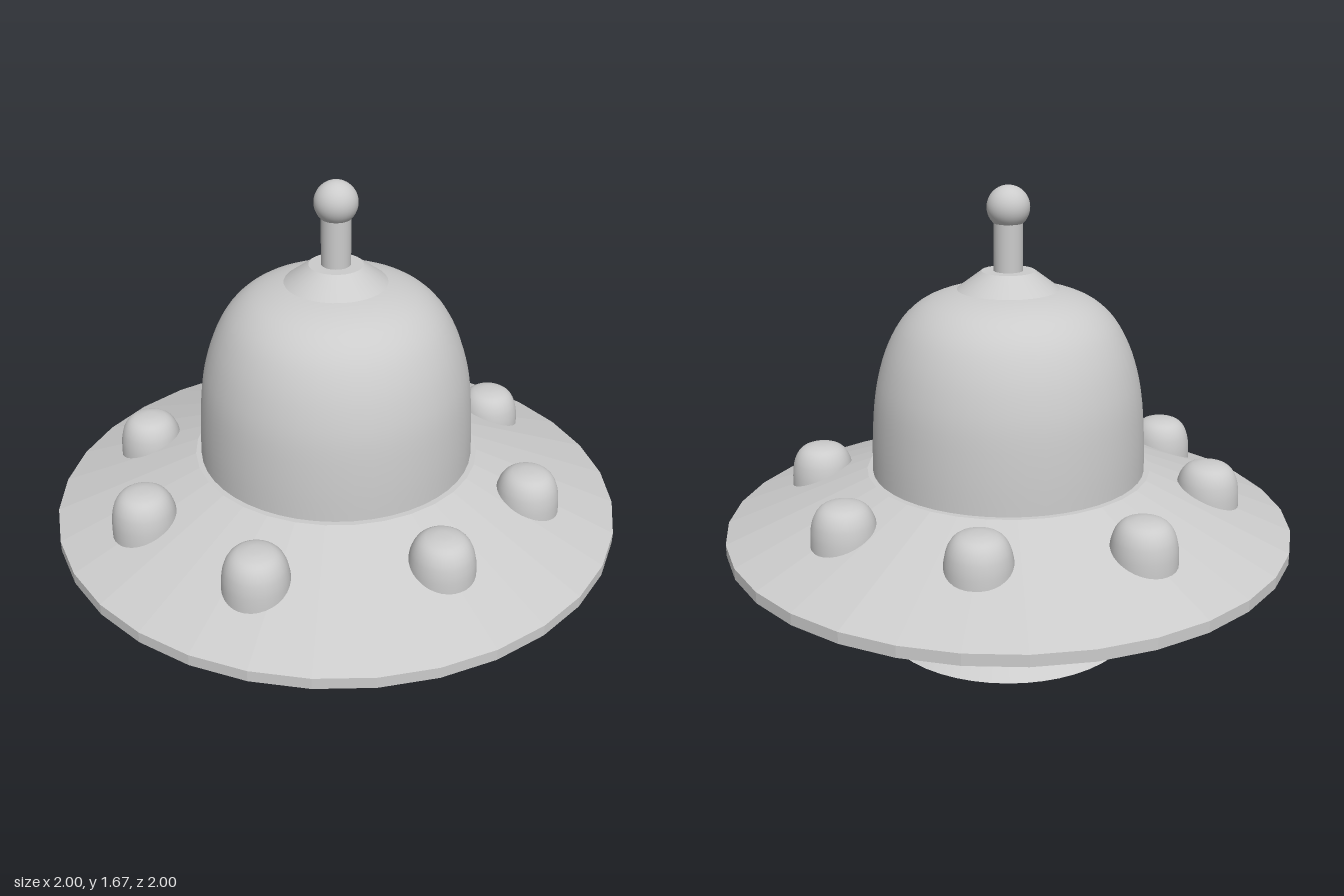
import * as THREE from 'three';

export function createModel() {
  const root = new THREE.Group();
  const smooth = new THREE.MeshStandardMaterial({ color: 0xcccccc, side: THREE.DoubleSide });
  const flat = new THREE.MeshStandardMaterial({ color: 0xcccccc, flatShading: true });

  const add = (name, geometry, material, x = 0, y = 0, z = 0) => {
    const mesh = new THREE.Mesh(geometry, material);
    mesh.name = name;
    mesh.position.set(x, y, z);
    root.add(mesh);
    return mesh;
  };
  // Tapered cylinder placed by its bottom and top heights
  const drum = (name, rTop, rBottom, y0, y1, material, sides = 32, x = 0, z = 0) =>
    add(name, new THREE.CylinderGeometry(rTop, rBottom, y1 - y0, sides), material, x, (y0 + y1) / 2, z);

  // Saucer: lower slope, rim band and upper slope
  drum('saucerBottom', 1, 0.5, 0.235, 0.44, flat);
  drum('saucerRim', 1, 1, 0.44, 0.48, flat);
  drum('saucerTop', 0.5, 1, 0.48, 0.68, flat);

  // Cabin dome, a steep-sided bell
  const bell = new THREE.SplineCurve([
    [0.48, 0], [0.477, 0.12], [0.466, 0.26], [0.446, 0.36], [0.415, 0.45], [0.37, 0.53],
    [0.31, 0.588], [0.24, 0.622], [0.16, 0.642], [0.08, 0.651], [0, 0.653],
  ].map(([r, y]) => new THREE.Vector2(r, y))).getPoints(30);
  bell.forEach((p) => { p.x = Math.max(p.x, 0); });
  add('cabinDome', new THREE.LatheGeometry(bell, 48), smooth, 0, 0.675, 0);

  // Antenna with its collar and ball
  drum('antennaCollar', 0.092, 0.175, 1.318, 1.38, smooth);
  drum('antennaStem', 0.05, 0.05, 1.37, 1.56, smooth, 24);
  add('antennaBall', new THREE.SphereGeometry(0.073, 32, 20), smooth, 0, 1.594, 0);

  // Ring of small bell-shaped lamps
  const lampProfile = [new THREE.Vector2(0.112, -0.02)];
  for (let i = 0; i <= 14; i++) {
    const p = bell[Math.round((i / 14) * 30)];
    lampProfile.push(new THREE.Vector2(p.x * 0.233, p.y * 0.233));
  }
  const lampGeometry = new THREE.LatheGeometry(lampProfile, 32);
  [
    [0, -0.705], [0.475, -0.475], [0.685, -0.02], [0.465, 0.515],
    [0, 0.685], [-0.55, 0.46], [-0.73, -0.02], [-0.52, -0.475],
  ].forEach(([x, z], i) => add(`lamp${i + 1}`, lampGeometry, smooth, x, 0.56, z));

  // Flared base and three round feet
  drum('base', 0.23, 0.463, 0.065, 0.24, smooth, 48);
  [[0.19, 0.133], [0.08, -0.193], [-0.23, 0.02]].forEach(([x, z], i) =>
    drum(`foot${i + 1}`, 0.14, 0.14, 0, 0.07, smooth, 32, x, z));

  return root;
}
